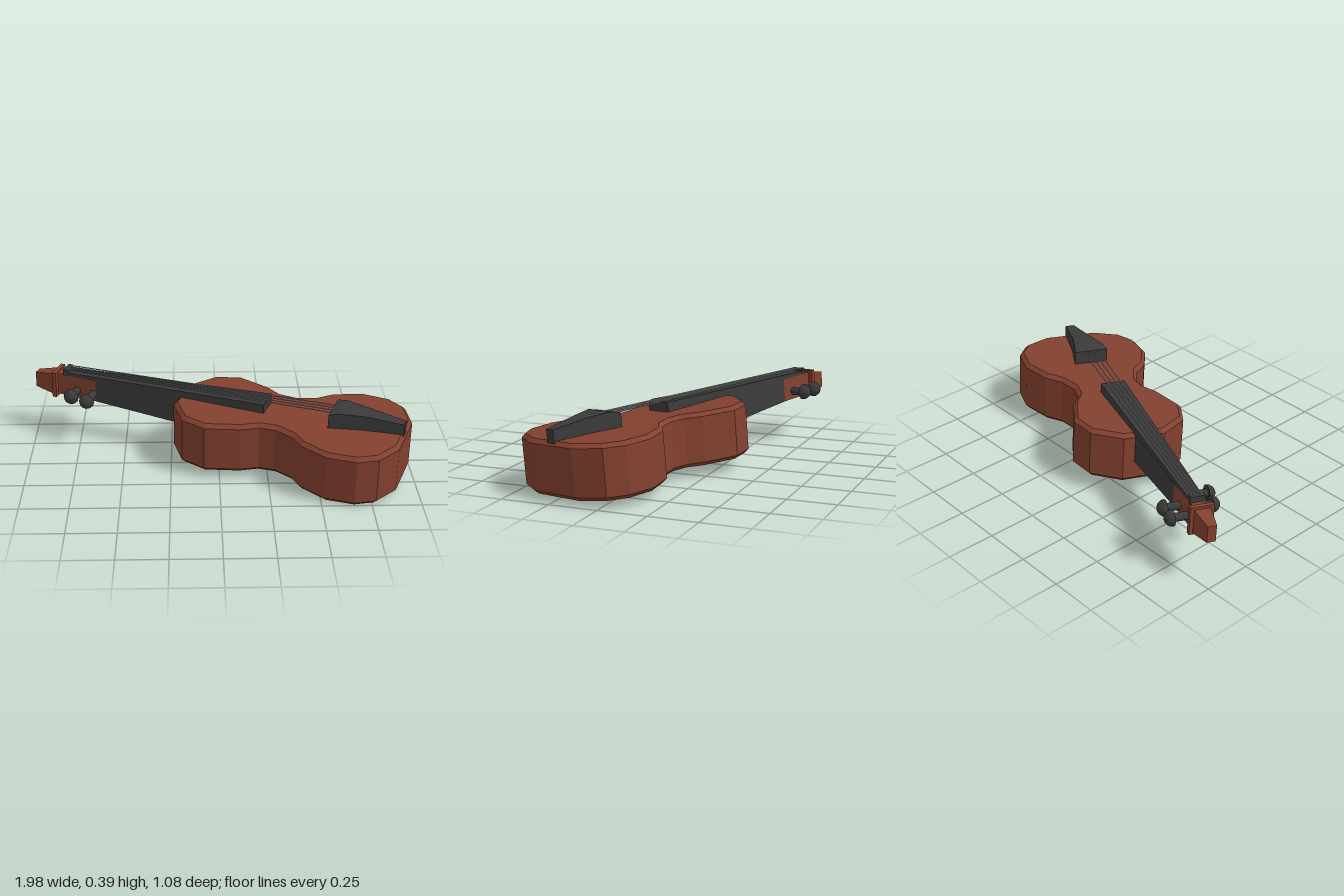
import * as THREE from 'three';

const wood = new THREE.MeshStandardMaterial({ color: 0x82402f, flatShading: true });
const ebony = new THREE.MeshStandardMaterial({ color: 0x3a3a3a, flatShading: true });
const steel = new THREE.MeshStandardMaterial({ color: 0xa8a8a8 });

function mesh(name, geometry, material) {
  const m = new THREE.Mesh(geometry, material);
  m.name = name;
  return m;
}

// Box-section beam along x through sections [x, halfWidth, bottom, top]
function beam(name, material, sections) {
  const n = sections.length - 1;
  const box = new THREE.BoxGeometry(1, 1, 1, n, 1, 1);
  const p = box.attributes.position;
  for (let i = 0; i < p.count; i++) {
    const [x, half, y0, y1] = sections[Math.round((p.getX(i) + 0.5) * n)];
    p.setXYZ(i, x, p.getY(i) > 0 ? y1 : y0, Math.sign(p.getZ(i)) * half);
  }
  const g = box.toNonIndexed();
  g.computeVertexNormals();
  return mesh(name, g, material);
}

// Hollow-waisted sound box with a chamfered rim
function soundBox() {
  const half = [
    [-0.252, 0.11], [-0.15, 0.253], [-0.013, 0.295], [0.165, 0.238], [0.245, 0.187], [0.33, 0.18],
    [0.43, 0.219], [0.497, 0.286], [0.647, 0.351], [0.8, 0.342], [0.895, 0.282], [0.962, 0.145],
  ];
  const mirrored = half.map(([x, w]) => [x, -w]);
  const outline = [...mirrored, ...half.reverse()].map(([x, w]) => new THREE.Vector2(x, w));
  const height = 0.272, bevel = 0.02;
  const g = new THREE.ExtrudeGeometry(new THREE.Shape(outline), {
    depth: height - 2 * bevel, bevelSize: bevel, bevelThickness: bevel, bevelOffset: -bevel, bevelSegments: 1,
  });
  g.rotateX(-Math.PI / 2).translate(0, bevel, 0);
  return mesh('soundBox', g, wood);
}

// Tuning peg: shaft with a domed head, pointing to side * z
function peg(x, side, length) {
  const r = 0.042, profile = [new THREE.Vector2(0, 0), new THREE.Vector2(0.021, 0), new THREE.Vector2(0.021, length)];
  for (let i = 0; i <= 4; i++) {
    const a = (i / 4) * Math.PI / 2;
    profile.push(new THREE.Vector2(i === 4 ? 0 : r * Math.cos(a), length + r * Math.sin(a)));
  }
  const m = mesh('tuningPeg', new THREE.LatheGeometry(profile, 12), ebony);
  m.rotation.x = side * Math.PI / 2;
  m.position.set(x, 0.187, 0);
  return m;
}

export function createModel() {
  const root = new THREE.Group();
  root.name = 'violin';

  // Instrument lies turned and slightly tilted
  const violin = new THREE.Group();
  violin.name = 'instrument';
  const up = new THREE.Vector3(0.012, 1, 0.077).normalize();
  const along = new THREE.Vector3(0.933, -0.0388, 0.358).normalize();
  const across = new THREE.Vector3().crossVectors(along, up).normalize();
  violin.quaternion.setFromRotationMatrix(new THREE.Matrix4().makeBasis(along, up, across));
  violin.position.set(0, 0.048, 0);
  violin.translateZ(-0.104);
  root.add(violin);

  violin.add(
    soundBox(),
    // Neck and fingerboard
    beam('neck', ebony, [[-0.735, 0.038, 0.142, 0.275], [-0.22, 0.05, 0.11, 0.29]]),
    beam('fingerboard', ebony, [[-0.91, 0.036, 0.266, 0.284], [-0.73, 0.041, 0.266, 0.29], [0.228, 0.066, 0.27, 0.322]]),
    beam('nut', ebony, [[-0.925, 0.038, 0.262, 0.299], [-0.9, 0.038, 0.262, 0.299]]),
    // Pegbox, collar and head
    beam('pegbox', wood, [[-0.97, 0.035, 0.147, 0.268], [-0.735, 0.038, 0.142, 0.272]]),
    beam('collar', wood, [[-0.984, 0.06, 0.135, 0.28], [-0.96, 0.06, 0.135, 0.28]]),
    beam('head', wood, [[-1.1, 0.022, 0.16, 0.245], [-0.98, 0.043, 0.142, 0.267]]),
    // Tailpiece
    beam('tailpiece', ebony, [
      [0.578, 0.092, 0.262, 0.343], [0.63, 0.08, 0.262, 0.355], [0.75, 0.052, 0.262, 0.35], [0.955, 0.024, 0.262, 0.328],
    ]),
  );

  // Pegs, staggered on both sides
  for (const [x, side, length] of [[-0.9, -1, 0.11], [-0.81, -1, 0.11], [-0.845, 1, 0.11], [-0.745, 1, 0.13]]) {
    violin.add(peg(x, side, length));
  }

  // Strings from nut to tailpiece
  for (let i = 0; i < 4; i++) {
    const t = i / 1.5 - 1;
    const path = new THREE.LineCurve3(
      new THREE.Vector3(-0.915, 0.299, 0.024 * t), new THREE.Vector3(0.6, 0.336, 0.042 * t));
    violin.add(mesh('string', new THREE.TubeGeometry(path, 1, 0.003, 6), steel));
  }
  return root;
}
